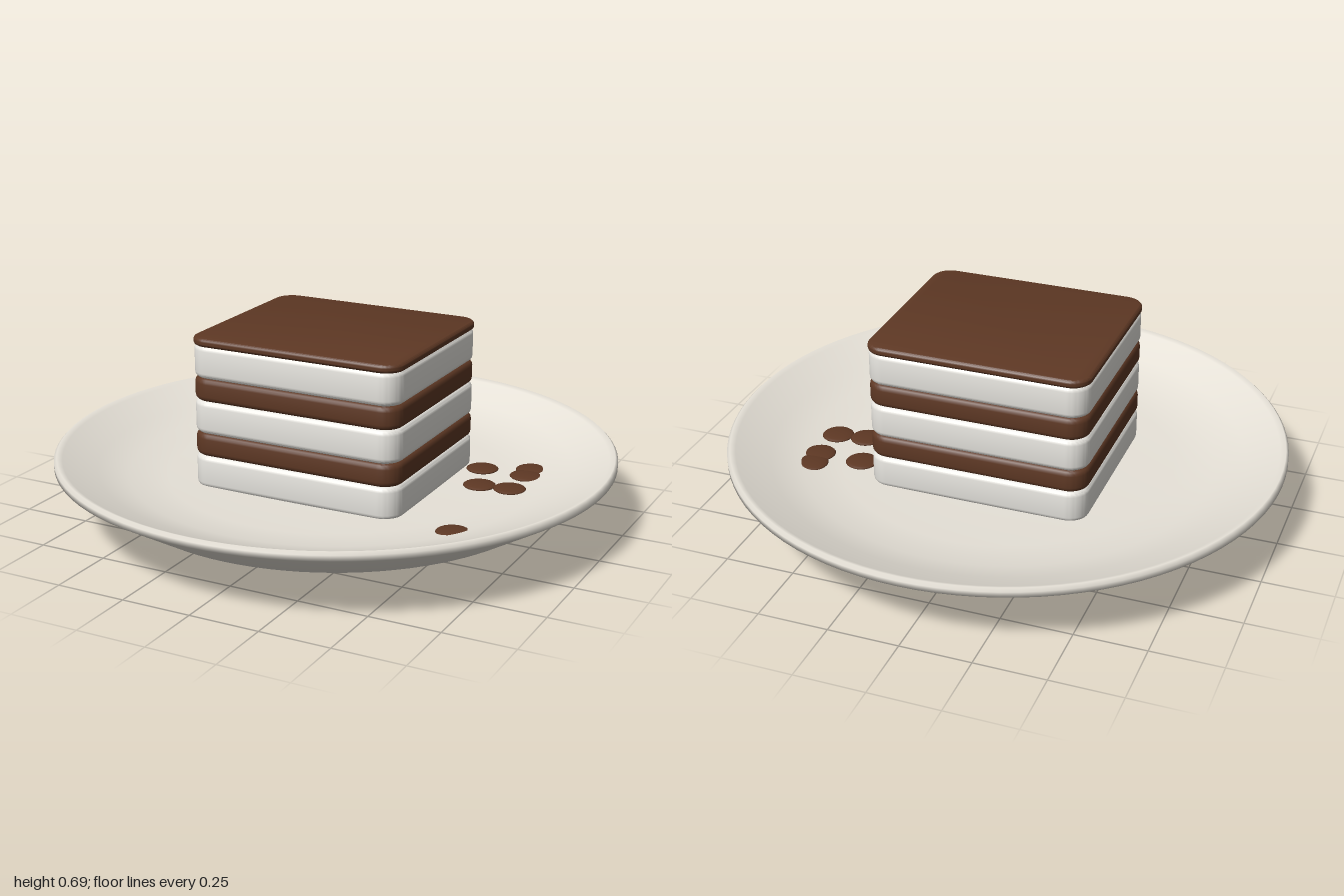
import * as THREE from 'three';
import { toCreasedNormals } from 'three/addons/utils/BufferGeometryUtils.js';

const flat = (name, color) => {
  const m = new THREE.MeshStandardMaterial({ color });
  m.name = name;
  return m;
};

// Rounded rectangular slab between two heights, with softened edges
function slab(width, depth, bottom, top, corner, bevel) {
  const w = width / 2 - bevel, d = depth / 2 - bevel, r = corner - bevel;
  const s = new THREE.Shape();
  s.moveTo(-w + r, -d);
  s.lineTo(w - r, -d);
  s.absarc(w - r, -d + r, r, -Math.PI / 2, 0);
  s.lineTo(w, d - r);
  s.absarc(w - r, d - r, r, 0, Math.PI / 2);
  s.lineTo(-w + r, d);
  s.absarc(-w + r, d - r, r, Math.PI / 2, Math.PI);
  s.lineTo(-w, -d + r);
  s.absarc(-w + r, -d + r, r, Math.PI, Math.PI * 1.5);
  const g = new THREE.ExtrudeGeometry(s, {
    depth: top - bottom - 2 * bevel, bevelEnabled: true,
    bevelSize: bevel, bevelThickness: bevel, bevelSegments: 4, curveSegments: 8,
  });
  g.rotateX(-Math.PI / 2);
  g.translate(0, bottom + bevel, 0);
  return toCreasedNormals(g, 0.7);
}

export function createModel() {
  const model = new THREE.Group();
  model.name = 'layerCakeOnPlate';
  const ceramic = flat('plateCeramic', 0xeae5db);
  const cream = flat('cream', 0xf0eee8);
  const chocolate = flat('chocolate', 0x5e3824);

  const add = (parent, name, geometry, material) => {
    const mesh = new THREE.Mesh(geometry, material);
    mesh.name = name;
    parent.add(mesh);
    return mesh;
  };

  // Plate: foot, flared underside, thin rim and shallow bowl
  const profile = [
    [0, 0], [0.55, 0], [0.6, 0.055], [0.78, 0.097], [1, 0.23], [1, 0.25], [0.99, 0.26],
    [0.97, 0.252], [0.85, 0.202], [0.74, 0.17], [0.6, 0.155], [0.3, 0.15], [0, 0.15],
  ].map(([x, y]) => new THREE.Vector2(x, y));
  add(model, 'plate', new THREE.LatheGeometry(profile, 96), ceramic);

  // Cake: cream and chocolate layers, finished with a thin chocolate top
  const cake = new THREE.Group();
  cake.name = 'cake';
  model.add(cake);
  [
    ['bottomCream', 0.145, 0.265, cream],
    ['lowerSponge', 0.263, 0.347, chocolate],
    ['middleCream', 0.345, 0.465, cream],
    ['upperSponge', 0.463, 0.547, chocolate],
    ['topCream', 0.545, 0.665, cream],
  ].forEach(([name, bottom, top, material]) =>
    add(cake, name, slab(0.796, 0.696, bottom, top, 0.07, 0.02), material));
  add(cake, 'chocolateTop', slab(0.8, 0.7, 0.66, 0.69, 0.07, 0.012), chocolate);

  // Flat chocolate drops scattered beside the cake
  const drops = new THREE.Group();
  drops.name = 'chocolateDrops';
  model.add(drops);
  const dropShape = new THREE.SphereGeometry(0.058, 20, 10);
  [[0.47, -0.24], [0.633, -0.31], [0.637, -0.24], [0.633, -0.093], [0.525, -0.08], [0.615, 0.36]]
    .forEach(([x, z]) => {
      const drop = add(drops, 'chocolateDrop', dropShape, chocolate);
      drop.position.set(x, 0.165, z);
      drop.scale.y = 0.15;
    });

  return model;
}
